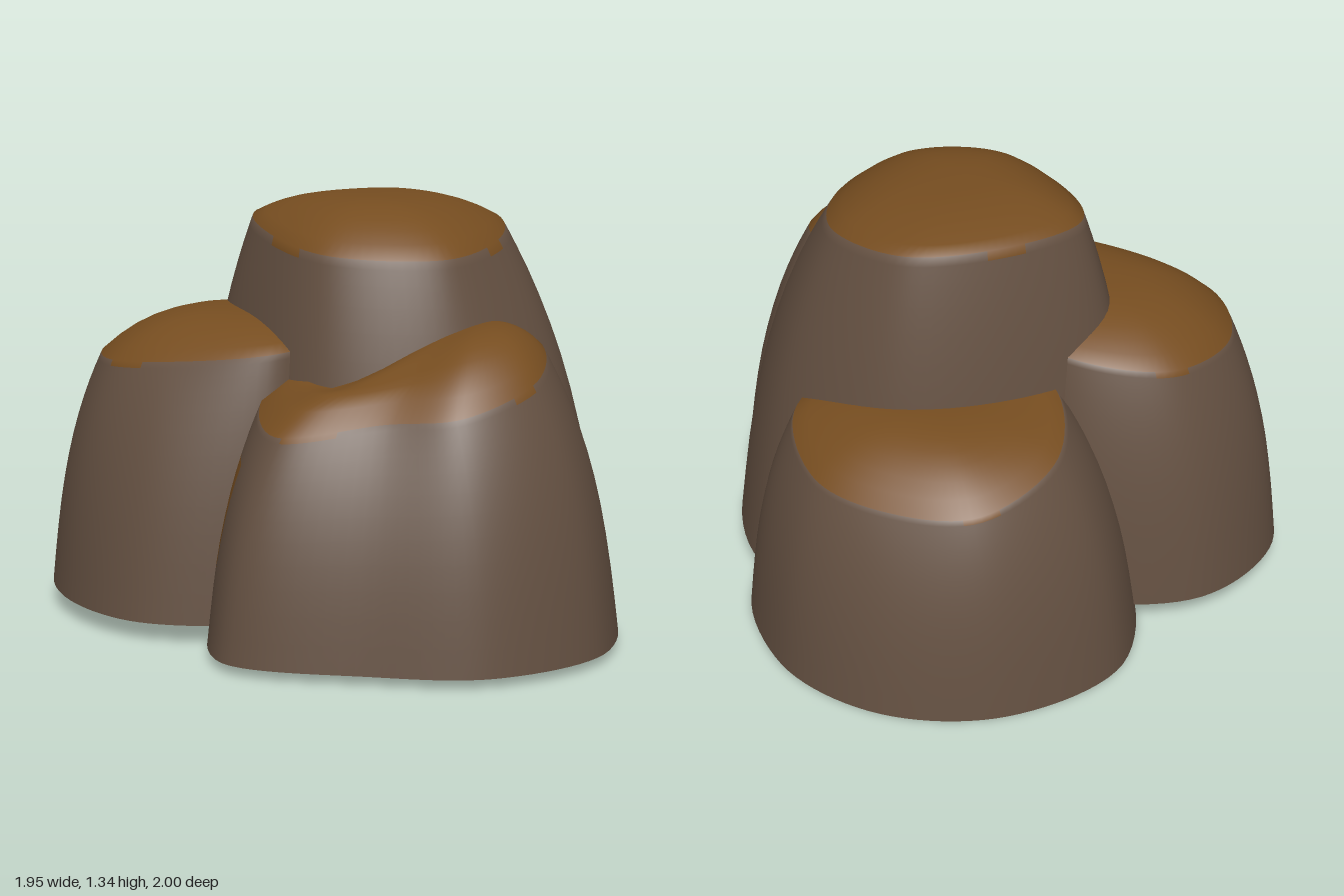
import * as THREE from 'three';

const stone = new THREE.MeshStandardMaterial({ color: 0x655142, side: THREE.DoubleSide });
stone.name = 'brown stone';
const moss = new THREE.MeshStandardMaterial({ color: 0x764d20, side: THREE.DoubleSide });
moss.name = 'ochre moss';

const AROUND = 80;
const WALL_RINGS = 12;
const CAP_RINGS = 9;

// Smooth closed outline from eight radii, turning from +x towards +z
function outline([cx, cz], radii) {
  const points = radii.map((r, i) => {
    const angle = (i * Math.PI) / 4;
    return new THREE.Vector3(cx + r * Math.cos(angle), 0, cz + r * Math.sin(angle));
  });
  const curve = new THREE.CatmullRomCurve3(points, true, 'centripetal');
  return Array.from({ length: AROUND }, (_, i) => curve.getPoint(i / AROUND));
}

// Whether step i lies in an arc given as [first step, number of steps]
const inArc = (i, [start, count]) => (i - start + AROUND) % AROUND < count;

// Open-bottomed boulder: a base outline, a tilted crown outline and a rounded cap.
// The gap is the arc of wall left out where it is buried in a neighbour.
function boulder(name, {
  floor, base, crown, rim, tilt, peak, gap, gapRings = WALL_RINGS, saddle = 0, streak = [0, 0],
}) {
  const low = outline(...base);
  const high = outline(...crown);
  const [cx, cz] = crown[0];
  low.forEach((p) => { p.y = floor; });
  high.forEach((p) => { p.y = rim + tilt[0] * (p.x - cx) + tilt[1] * (p.z - cz); });
  const top = new THREE.Vector3(...peak);
  const rings = [];

  // Walls lean in more and more towards the crown
  for (let k = 0; k <= WALL_RINGS; k++) {
    const t = k / WALL_RINGS;
    const rise = 1 - Math.pow(1 - t, 1.5);
    const lean = 0.45 * rise + 0.55 * Math.pow(rise, 3);
    rings.push(low.map((p, i) => {
      const q = p.clone().lerp(high[i], lean);
      q.y = THREE.MathUtils.lerp(p.y, high[i].y, rise);
      return q;
    }));
  }

  // Cap rounds over to a flat top, with an optional saddle beside the peak
  for (let k = 1; k <= CAP_RINGS; k++) {
    const s = k / CAP_RINGS;
    rings.push(high.map((q) => {
      const p = q.clone().lerp(top, s);
      const reach = Math.hypot(p.x - top.x + 0.33, p.z - top.z - 0.18) / 0.25;
      p.y = q.y + (top.y - q.y) * (1 - Math.pow(1 - s, 2.8))
        - saddle * Math.min(1, s * 3) * Math.exp(-reach * reach);
      return p;
    }));
  }

  // Stone below the crown, moss above a slightly ragged edge and in a streak down the wall
  const faces = [[], []];
  for (let r = 0; r < rings.length - 1; r++) {
    for (let i = 0; i < AROUND; i++) {
      if (r < gapRings && inArc(i, gap)) continue;
      const j = (i + 1) % AROUND;
      const a = r * AROUND + i, b = r * AROUND + j, c = a + AROUND, d = b + AROUND;
      const drip = Math.sin(i * 0.55) + Math.sin(i * 0.23 + 2) > 1.1 ? 1 : 0;
      const streaked = r >= 3 && r < 8 && inArc(i, streak);
      const list = faces[r >= WALL_RINGS - drip || streaked ? 1 : 0];
      list.push(a, c, b);
      if (r < rings.length - 2) list.push(b, c, d);
    }
  }
  const geometry = new THREE.BufferGeometry().setFromPoints(rings.flat());
  geometry.setIndex(faces.flat());
  geometry.addGroup(0, faces[0].length, 0);
  geometry.addGroup(faces[0].length, faces[1].length, 1);
  geometry.computeVertexNormals();
  const mesh = new THREE.Mesh(geometry, [stone, moss]);
  mesh.name = name;
  return mesh;
}

export function createModel() {
  const group = new THREE.Group();
  group.name = 'mossyBoulders';
  group.add(boulder('tallCentreBoulder', {
    floor: 0.06, rim: 1.24, tilt: [-0.06, -0.1], peak: [0.06, 1.34, 0.06], gap: [30, 34], gapRings: 4,
    base: [[0.12, 0.02], [0.71, 0.64, 0.62, 0.57, 0.68, 0.58, 0.62, 0.68]],
    crown: [[0.08, 0.02], [0.41, 0.48, 0.45, 0.38, 0.42, 0.38, 0.43, 0.42]],
  }));
  group.add(boulder('rightBoulder', {
    floor: 0.06, rim: 0.87, tilt: [0.11, -0.04], peak: [-0.32, 0.98, 0.2], gap: [65, 23],
    base: [[-0.45, 0.23], [0.56, 0.55, 0.52, 0.48, 0.52, 0.54, 0.53, 0.5]],
    crown: [[-0.4, 0.2], [0.42, 0.47, 0.37, 0.38, 0.39, 0.4, 0.38, 0.4]],
  }));
  group.add(boulder('frontLeftBoulder', {
    floor: 0.03, rim: 0.82, tilt: [0.09, -0.28], peak: [0.5, 1, 0.32], saddle: 0.12,
    gap: [43, 26], streak: [34, 4],
    base: [[0.38, 0.5], [0.59, 0.49, 0.45, 0.66, 0.63, 0.5, 0.47, 0.65]],
    crown: [[0.36, 0.5], [0.39, 0.33, 0.26, 0.46, 0.47, 0.4, 0.35, 0.42]],
  }));
  group.add(boulder('backBoulder', {
    floor: 0, rim: 0.73, tilt: [0, 0.25], peak: [-0.02, 0.805, -0.46], gap: [8, 24],
    base: [[-0.05, -0.5], [0.64, 0.5, 0.38, 0.65, 0.63, 0.53, 0.5, 0.54]],
    crown: [[-0.02, -0.5], [0.44, 0.38, 0.3, 0.42, 0.43, 0.4, 0.34, 0.38]],
  }));
  return group;
}
